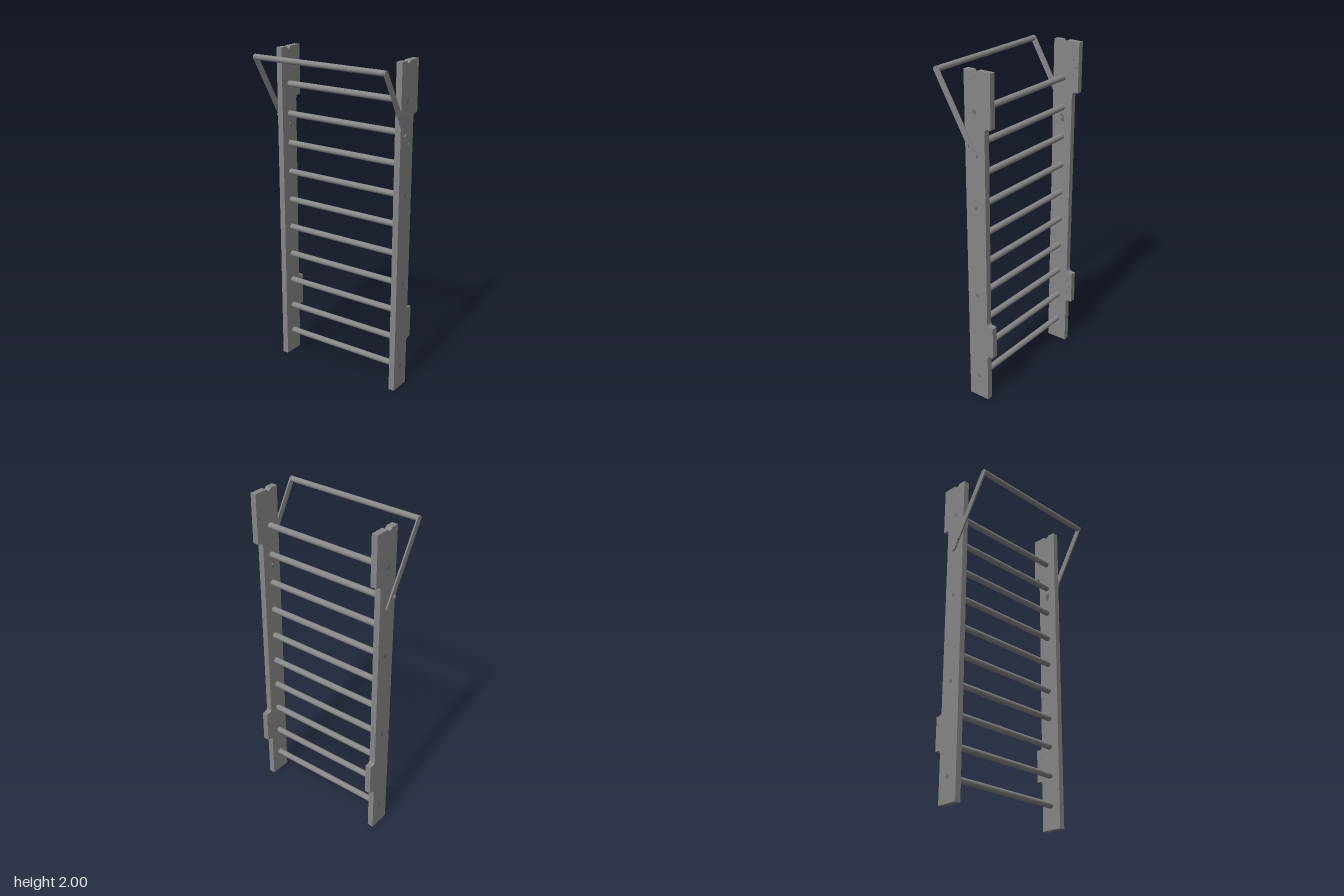
import * as THREE from 'three';

const grey = new THREE.MeshStandardMaterial({ color: 0x868686 });
const darkGrey = new THREE.MeshStandardMaterial({ color: 0x707070 });

export function createModel() {
  const model = new THREE.Group();
  model.name = 'wallBars';

  const add = (name, geometry, x, y, z, material = grey) => {
    const mesh = new THREE.Mesh(geometry, material);
    mesh.name = name;
    mesh.position.set(x, y, z);
    model.add(mesh);
    return mesh;
  };
  // Cylinder lying along x
  const rod = (r, length, sides = 24) =>
    new THREE.CylinderGeometry(r, r, length, sides).rotateZ(Math.PI / 2);
  // Side profile (u = -z, v = y) given thickness along x, centred on x = 0
  const slab = (shape, thickness) =>
    new THREE.ExtrudeGeometry(shape, { depth: thickness, bevelEnabled: false, curveSegments: 10 })
      .translate(0, 0, -thickness / 2).rotateY(Math.PI / 2);

  // Upright profile: two wall pads at the back and a rung notch on top
  const front = 0.013, back = 0.145, pad = 0.185, f = 0.024;
  const profile = new THREE.Shape();
  profile.moveTo(front, 0);
  profile.lineTo(back, 0);
  profile.lineTo(back, 0.305 - f);
  profile.quadraticCurveTo(back, 0.305, back + f, 0.305);
  profile.lineTo(pad, 0.305);
  profile.lineTo(pad, 0.505);
  profile.lineTo(back + f, 0.505);
  profile.quadraticCurveTo(back, 0.505, back, 0.505 + f);
  profile.lineTo(back, 1.7 - f);
  profile.quadraticCurveTo(back, 1.7, back + f, 1.7);
  profile.lineTo(pad, 1.7);
  profile.lineTo(pad, 2);
  profile.lineTo(0.098, 2);
  profile.quadraticCurveTo(0.08, 1.972, 0.062, 2);
  profile.lineTo(front, 2);
  profile.closePath();
  const uprightGeometry = slab(profile, 0.037);

  // Swing arm: a flat bar with round ends, tilted forward
  const top = new THREE.Vector2(0.166, 1.969), bottom = new THREE.Vector2(-0.083, 1.543);
  const armHalf = top.distanceTo(bottom) / 2, armR = 0.017;
  const armShape = new THREE.Shape();
  armShape.absarc(0, armHalf, armR, 0, Math.PI);
  armShape.absarc(0, -armHalf, armR, Math.PI, Math.PI * 2);
  armShape.closePath();
  const armGeometry = slab(armShape, 0.009);
  const tilt = Math.atan2(top.x - bottom.x, top.y - bottom.y);

  // Rungs
  const rungY = (i) => 0.145 + i * 0.1817;
  for (let i = 0; i < 10; i++) add('rung', rod(0.0185, 0.79), 0, rungY(i), -0.08);

  // Pull-up bar
  add('pullUpBar', rod(0.0165, 0.86), 0, top.y, top.x);

  for (const s of [1, -1]) {
    add('upright', uprightGeometry, s * 0.4085, 0, 0);

    const arm = add('swingArm', armGeometry, s * 0.4355,
      (top.y + bottom.y) / 2, (top.x + bottom.x) / 2);
    arm.rotation.x = tilt;

    // Arm pivot and stop bolts
    add('stopBolt', rod(0.006, 0.03, 16), s * 0.432, 1.595, -0.04);
    add('stopBoltHead', rod(0.0125, 0.007, 6), s * 0.4435, 1.595, -0.04);
    add('pivotBolt', rod(0.007, 0.062, 16), s * 0.411, 1.54, -0.08);
    add('innerPlate', new THREE.BoxGeometry(0.003, 0.048, 0.02), s * 0.3895, 1.535, -0.08, darkGrey);
    for (const y of [1.522, 1.548]) add('plateNut', rod(0.008, 0.005, 6), s * 0.387, y, -0.08, darkGrey);

    // Screw plugs, nearly flush with the outer face
    for (const i of [0, 3, 6, 9])
      add('screwPlug', rod(0.013, 0.002, 16), s * 0.4265, rungY(i), -0.08, darkGrey);

    // Wall fixing screws, nearly flush with the inner face of the pads
    for (const y of [0.405, 1.85])
      for (const [dy, z] of [[-0.045, -0.15], [0, -0.165], [0.045, -0.15]])
        add('wallScrew', rod(0.006, 0.002, 12), s * 0.3905, y + dy, z, darkGrey);
  }
  return model;
}
